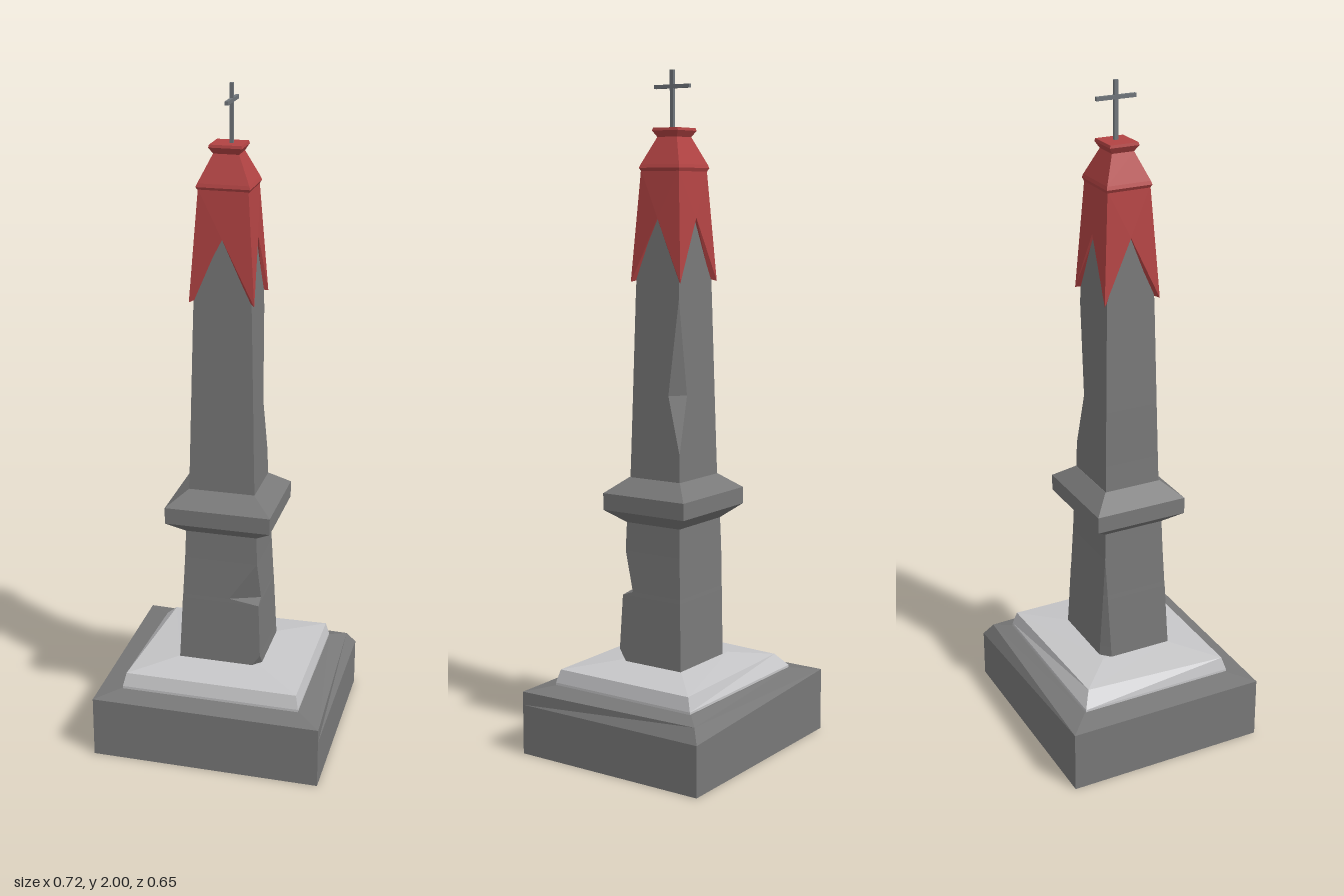
import * as THREE from 'three';

const stone = new THREE.MeshStandardMaterial({ color: 0x787878 });
stone.name = 'grey stone';
const pale = new THREE.MeshStandardMaterial({ color: 0xc6c6c8 });
pale.name = 'pale stone';
const red = new THREE.MeshStandardMaterial({ color: 0xb24343 });
red.name = 'red roof';
const metal = new THREE.MeshStandardMaterial({ color: 0x70757a });
metal.name = 'grey metal';

// Flat-faced geometry from a list of triangles, dropping empty ones.
function facets(triangles) {
  const points = [];
  for (const [a, b, c] of triangles) {
    const area = b.clone().sub(a).cross(c.clone().sub(a)).length();
    if (area > 1e-8) points.push(a, b, c);
  }
  const geometry = new THREE.BufferGeometry().setFromPoints(points);
  geometry.computeVertexNormals();
  return geometry;
}

const SIGNS = [[1, 1], [1, -1], [-1, -1], [-1, 1]];

// Rectangular ring: chips[corner] = { cut: [x, z] } bevels a corner,
// { push: [x, z] } moves it inward.
function ring(y, hx, hz, chips = {}) {
  return SIGNS.flatMap(([sx, sz], i) => {
    const { cut = [0, 0], push = [0, 0] } = chips[i] || {};
    const x = hx - push[0], z = hz - push[1];
    const pair = [
      new THREE.Vector3(sx * (x - cut[0]), y, sz * z),
      new THREE.Vector3(sx * x, y, sz * (z - cut[1])),
    ];
    return i % 2 ? pair.reverse() : pair;
  });
}

// Closed solid through a stack of rings.
function loft(rings) {
  const tris = [];
  for (let r = 0; r + 1 < rings.length; r++) {
    const lo = rings[r], hi = rings[r + 1];
    for (let i = 0; i < 8; i++) {
      const j = (i + 1) % 8;
      tris.push([lo[i], lo[j], hi[j]], [lo[i], hi[j], hi[i]]);
    }
  }
  const bottom = rings[0], top = rings[rings.length - 1];
  for (let i = 1; i < 7; i++) {
    tris.push([top[0], top[i], top[i + 1]], [bottom[0], bottom[i + 1], bottom[i]]);
  }
  return facets(tris);
}

// Four-sided roof skirt with an inverted V cut into every side.
function skirt() {
  const tris = [];
  const at = (s, y, hx, hz) => new THREE.Vector3(s[0] * hx, y, s[1] * hz);
  for (let i = 0; i < 4; i++) {
    const p = SIGNS[i], q = SIGNS[(i + 1) % 4];
    const mid = [(p[0] + q[0]) / 2, (p[1] + q[1]) / 2];
    const tl = at(p, 1.717, 0.072, 0.066), tr = at(q, 1.717, 0.072, 0.066);
    const bl = at(p, 1.395, 0.095, 0.087), br = at(q, 1.395, 0.095, 0.087);
    const m = at(mid, 1.58, 0.085, 0.078);
    const bli = at(p, 1.4, 0.08, 0.072), bri = at(q, 1.4, 0.08, 0.072);
    const mi = at(mid, 1.585, 0.072, 0.065);
    tris.push([bl, m, tl], [tl, m, tr], [m, br, tr]);
    // underside of the cut edge
    tris.push([bl, bli, mi], [bl, mi, m], [m, mi, bri], [m, bri, br]);
  }
  return facets(tris);
}

export function createModel() {
  const model = new THREE.Group();
  model.name = 'monument';
  const body = new THREE.Group();
  body.name = 'obelisk';
  body.rotation.y = -0.046;
  model.add(body);

  const add = (name, geometry, material, z = 0) => {
    const mesh = new THREE.Mesh(geometry, material);
    mesh.name = name;
    mesh.position.z = z;
    body.add(mesh);
    return mesh;
  };

  // Plinth with a worn back corner
  add('plinth', loft([
    ring(0, 0.347, 0.309),
    ring(0.15, 0.347, 0.309),
    ring(0.19, 0.347, 0.309, { 1: { push: [0.026, 0.025] } }),
    ring(0.203, 0.272, 0.24),
  ]), stone);

  // Pale step with a chipped corner
  add('step', loft([
    ring(0.2, 0.272, 0.24),
    ring(0.21, 0.272, 0.24),
    ring(0.25, 0.263, 0.228, { 2: { push: [0.03, 0.015] } }),
    ring(0.266, 0.125, 0.11),
  ]), pale, 0.004);

  // Lower shaft with a deep notch and worn foot corners
  add('lowerShaft', loft([
    ring(0.26, 0.127, 0.112, { 0: { cut: [0.03, 0.03] }, 2: { cut: [0.028, 0.028] } }),
    ring(0.3, 0.125, 0.11, { 2: { cut: [0.025, 0.025] } }),
    ring(0.465, 0.118, 0.103, { 2: { cut: [0.011, 0.011] } }),
    ring(0.478, 0.117, 0.102, { 0: { cut: [0.09, 0.035] }, 2: { cut: [0.01, 0.01] } }),
    ring(0.6, 0.111, 0.097),
    ring(0.69, 0.108, 0.094),
  ]), stone, 0.006);

  // Collar
  add('collar', loft([
    ring(0.685, 0.108, 0.094),
    ring(0.725, 0.159, 0.143),
    ring(0.775, 0.159, 0.143),
    ring(0.82, 0.1, 0.09),
  ]), stone, 0.006);

  // Upper shaft with a long chip down one edge
  add('upperShaft', loft([
    ring(0.81, 0.1, 0.088),
    ring(0.9, 0.097, 0.086),
    ring(1.07, 0.093, 0.082, { 1: { cut: [0.04, 0.038] } }),
    ring(1.35, 0.086, 0.076),
    ring(1.6, 0.078, 0.069),
    ring(1.7, 0.05, 0.045),
  ]), stone, 0.005);

  // Roof
  add('roofSkirt', skirt(), red, 0.005);
  add('roofCap', loft([
    ring(1.712, 0.072, 0.066),
    ring(1.722, 0.078, 0.07),
    ring(1.732, 0.074, 0.067),
    ring(1.81, 0.037, 0.034),
    ring(1.828, 0.048, 0.045),
    ring(1.836, 0.046, 0.043),
  ]), red, 0.004);

  // Cross
  const post = add('crossPost', new THREE.BoxGeometry(0.01, 0.175, 0.012), metal, 0.005);
  post.position.set(0.008, 1.9125, 0.005);
  const arm = add('crossArm', new THREE.BoxGeometry(0.01, 0.011, 0.122), metal, 0.005);
  arm.position.set(0.008, 1.953, 0.005);

  return model;
}
